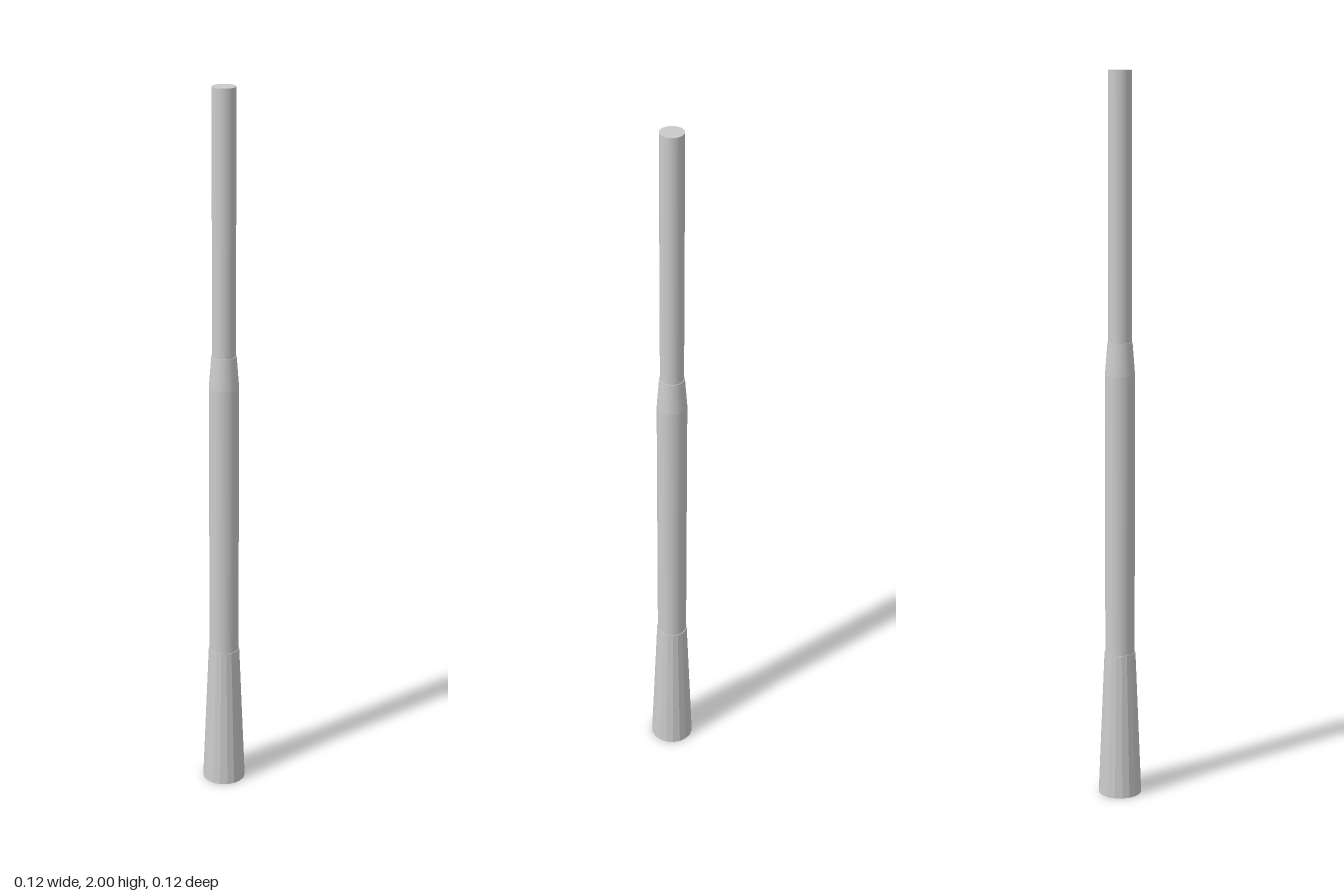
import * as THREE from 'three';

// Tapered round section standing between two heights
function section(name, y0, y1, r0, r1, sides, flatShading = false, open = false) {
  const geometry = new THREE.CylinderGeometry(r1, r0, y1 - y0, sides, 1, open);
  const material = new THREE.MeshStandardMaterial({ color: 0xcccccc, flatShading });
  const mesh = new THREE.Mesh(geometry, material);
  mesh.name = name;
  mesh.position.y = (y0 + y1) / 2;
  return mesh;
}

export function createModel() {
  const group = new THREE.Group();
  group.name = 'steppedPole';
  group.add(
    // Flared foot, faceted
    section('flaredBase', 0, 0.41, 0.06, 0.043, 18, true),
    // Middle shaft with its tapered shoulder
    section('middleShaft', 0.41, 1.19, 0.041, 0.041, 24, false, true),
    section('shoulder', 1.19, 1.28, 0.041, 0.034, 24),
    // Thin upper shaft with flat end
    section('upperShaft', 1.28, 2, 0.032, 0.032, 24),
  );
  return group;
}
